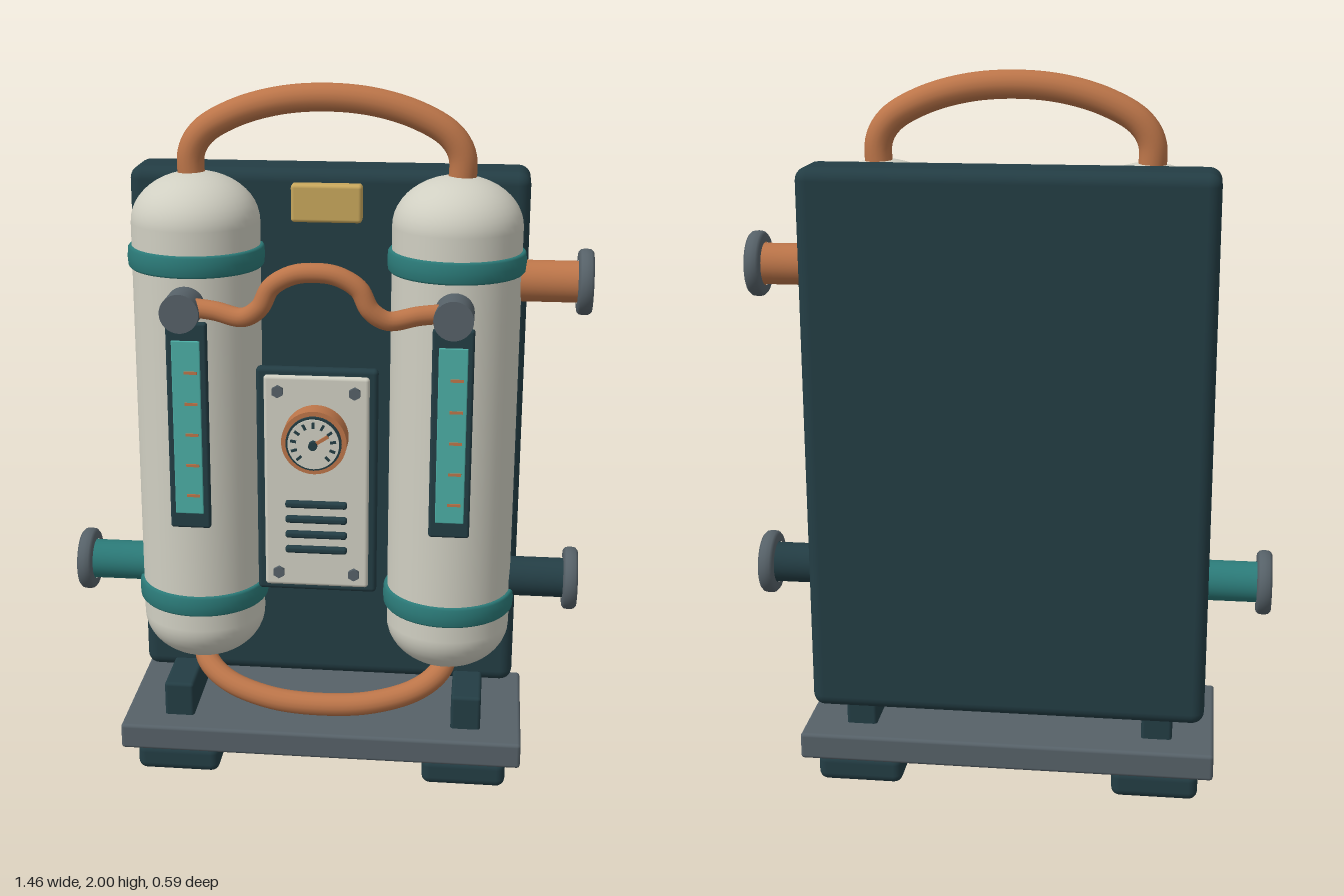
import * as THREE from 'three';
import { RoundedBoxGeometry } from 'three/addons/geometries/RoundedBoxGeometry.js';

const mat = (name, color) => Object.assign(new THREE.MeshStandardMaterial({ color }), { name });

export function createModel() {
  const root = new THREE.Group();
  root.name = 'twinTankUnit';
  const dark = mat('dark slate', 0x233d44);
  const cream = mat('cream enamel', 0xd0cfc2);
  const copper = mat('copper', 0xbc7549);
  const teal = mat('teal', 0x2b7a78);
  const glass = mat('aqua glass', 0x4bada4);
  const gray = mat('steel gray', 0x566168);
  const brass = mat('brass', 0xc8a75c);

  const add = (name, geo, material, parent = root) => {
    const m = new THREE.Mesh(geo, material);
    m.name = name;
    parent.add(m);
    return m;
  };
  // Rounded box given by its min and max along each axis
  const box = (name, material, [x0, x1], [y0, y1], [z0, z1], r = 0.01) => {
    const g = new RoundedBoxGeometry(x1 - x0, y1 - y0, z1 - z0, 3, r);
    g.translate((x0 + x1) / 2, (y0 + y1) / 2, (z0 + z1) / 2);
    return add(name, g, material);
  };
  // Cylinder along z
  const disc = (name, material, x, y, z0, z1, r, sides = 32) => {
    const g = new THREE.CylinderGeometry(r, r, z1 - z0, sides);
    g.rotateX(Math.PI / 2);
    g.translate(x, y, (z0 + z1) / 2);
    return add(name, g, material);
  };
  const lathe = (pts, n = 48) => new THREE.LatheGeometry(pts.map(p => new THREE.Vector2(...p)), n);
  // Hose mirrored in x: points run from the right-hand end to the middle
  const hose = (name, r, half) => {
    const pts = half.map(p => new THREE.Vector3(...p));
    const rest = half.slice(0, -1).reverse().map(([x, y, z]) => new THREE.Vector3(-x, y, z));
    const curve = new THREE.CatmullRomCurve3([...pts, ...rest], false, 'centripetal');
    return add(name, new THREE.TubeGeometry(curve, 80, r, 16), copper);
  };

  // Back board, base and name plate
  box('backBoard', dark, [-0.555, 0.555], [0.23, 1.76], [-0.265, -0.08], 0.035);
  box('basePlate', gray, [-0.585, 0.585], [0.083, 0.16], [-0.297, 0.17], 0.01);
  box('brassPlate', brass, [-0.098, 0.098], [1.62, 1.725], [-0.09, -0.045], 0.01);

  // Tank outline: straight wall with flattened domes
  const tankX = 0.36, tankZ = -0.035, R = 0.178;
  const profile = [];
  for (let i = 0; i <= 12; i++) {
    const a = (i / 12) * Math.PI / 2;
    profile.push([R * Math.sin(a), 0.46 - 0.137 * Math.cos(a)]);
  }
  for (let i = 12; i >= 0; i--) {
    const a = (i / 12) * Math.PI / 2;
    profile.push([R * Math.sin(a), 1.623 + 0.137 * Math.cos(a)]);
  }
  const band = [[0.17, -0.03], [0.183, -0.03], [0.188, -0.024], [0.19, 0], [0.188, 0.024], [0.183, 0.03], [0.17, 0.03]];

  for (const s of [-1, 1]) {
    const span = (a, b) => (s > 0 ? [a, b] : [-b, -a]);
    box('foot', dark, span(0.3, 0.543), [0, 0.083], [-0.267, 0.145], 0.025);
    box('standBracket', dark, span(0.38, 0.467), [0.15, 0.262], [-0.21, 0.09], 0.01);

    add('tank', lathe(profile), cream).position.set(s * tankX, 0, tankZ);
    for (const y of [0.54, 1.53]) add('tankBand', lathe(band), teal).position.set(s * tankX, y, tankZ);

    // Sight glass with level ticks
    box('sightFrame', dark, span(0.305, 0.418), [0.785, 1.38], [0.115, 0.152], 0.008);
    box('sightGlass', glass, span(0.323, 0.402), [0.83, 1.33], [0.145, 0.156], 0.003);
    for (let i = 0; i < 5; i++) {
      const tick = add('sightTick', new THREE.BoxGeometry(0.036, 0.008, 0.006), copper);
      tick.position.set(s * 0.362 + 0.012, 0.885 + i * 0.089, 0.156);
    }
    disc('valve', gray, s * 0.362, 1.425, 0.12, 0.236, 0.053);
  }

  // Carrying handle and hoses
  hose('handle', 0.038, [[0.365, 1.7, -0.04], [0.368, 1.81, -0.04], [0.335, 1.865, -0.04],
    [0.25, 1.915, -0.04], [0.13, 1.95, -0.04], [0, 1.961, -0.04]]);
  hose('lowerHose', 0.033, [[0.365, 0.36, -0.03], [0.345, 0.312, 0.02], [0.28, 0.27, 0.065],
    [0.15, 0.238, 0.1], [0, 0.229, 0.11]]);
  hose('frontHose', 0.026, [[0.345, 1.435, 0.19], [0.27, 1.43, 0.207], [0.19, 1.42, 0.228],
    [0.145, 1.45, 0.238], [0.115, 1.505, 0.238], [0.06, 1.538, 0.238], [0, 1.546, 0.238]]);

  // Control panel with vents and screws
  box('panelFrame', dark, [-0.165, 0.165], [0.63, 1.275], [0.165, 0.197], 0.012);
  box('panelFace', cream, [-0.143, 0.143], [0.648, 1.256], [0.185, 0.208], 0.01);
  for (let i = 0; i < 4; i++) {
    const y = 0.76 + i * 0.0443;
    box('ventBar', dark, [-0.085, 0.085], [y - 0.01, y + 0.01], [0.2, 0.222], 0.008);
  }
  for (const x of [-0.104, 0.104]) for (const y of [0.69, 1.214]) disc('panelScrew', gray, x, y, 0.2, 0.22, 0.017, 6);

  // Dial gauge
  const dialY = 1.09;
  disc('dialBody', copper, 0, dialY, 0.2, 0.268, 0.088, 40);
  disc('dialRim', dark, 0, dialY, 0.26, 0.276, 0.075, 40);
  disc('dialFace', cream, 0, dialY, 0.27, 0.281, 0.069, 40);
  for (let i = 0; i < 11; i++) {
    const a = THREE.MathUtils.degToRad(-45 + i * 27);
    const tick = add('dialTick', new THREE.BoxGeometry(0.016, 0.007, 0.006), dark);
    tick.position.set(0.054 * Math.cos(a), dialY + 0.054 * Math.sin(a), 0.282);
    tick.rotation.z = a;
  }
  const needle = add('dialNeedle', new THREE.BoxGeometry(0.055, 0.009, 0.006), copper);
  needle.position.set(0.017, dialY + 0.011, 0.287);
  needle.rotation.z = 0.58;
  disc('dialHub', dark, 0, dialY, 0.28, 0.297, 0.012, 16);

  // Side ports: pipe, rounded flange and dark mouth, built along y then laid outward
  const flange = [[0.06, 0.69], [0.082, 0.69], [0.089, 0.697], [0.091, 0.71], [0.089, 0.724], [0.082, 0.731], [0.074, 0.729], [0.072, 0.72]];
  const pipe = [[0.057, 0.53], [0.057, 0.7], [0.073, 0.7], [0.073, 0.724], [0.06, 0.724], [0.06, 0.712]];
  for (const [s, y, material] of [[1, 1.47, copper], [1, 0.59, dark], [-1, 0.59, teal]]) {
    const port = new THREE.Group();
    port.name = 'sidePort';
    port.position.set(0, y, -0.06);
    port.rotation.z = -s * Math.PI / 2;
    root.add(port);
    add('portPipe', lathe(pipe, 32), material, port);
    add('portFlange', lathe(flange, 32), gray, port);
    add('portMouth', new THREE.CylinderGeometry(0.061, 0.061, 0.01, 32), dark, port).position.y = 0.71;
  }
  return root;
}
